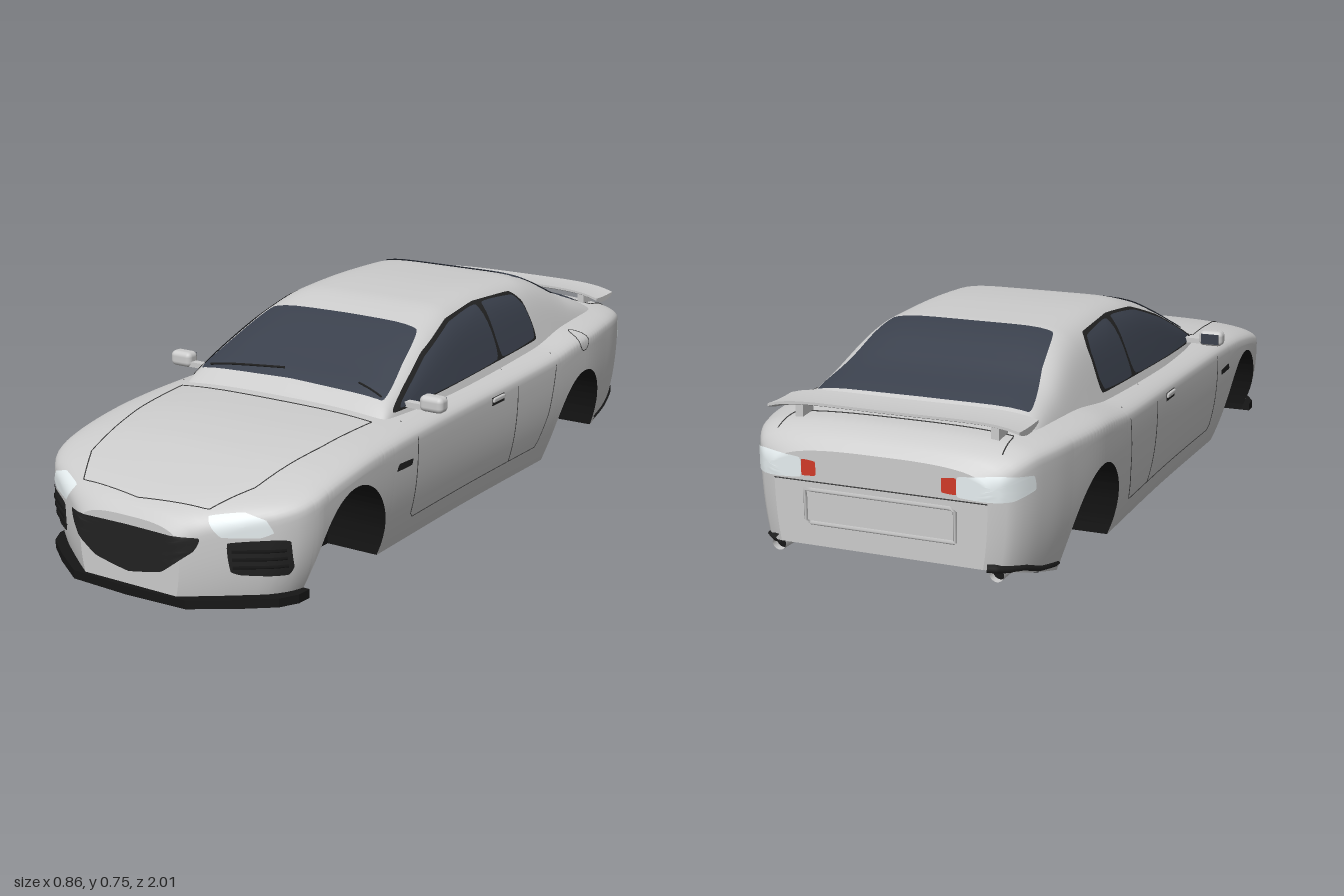
import * as THREE from 'three';
import { RoundedBoxGeometry } from 'three/addons/geometries/RoundedBoxGeometry.js';

const mat = (color) => new THREE.MeshStandardMaterial({ color, side: THREE.DoubleSide });
const paint = mat(0xcccccc), glass = mat(0x3a404c), black = mat(0x222222), lamp = mat(0xe6eef0),
  dark = mat(0x161616), seam = mat(0x444444), red = mat(0xd03a28);

// Smooth curve through [z, value] points without overshoot
function curve(p) {
  const d = p.slice(1).map((q, i) => (q[1] - p[i][1]) / (q[0] - p[i][0]));
  const m = p.map((_, i) => i === 0 ? d[0] : i === d.length ? d[i - 1]
    : d[i - 1] * d[i] <= 0 ? 0 : 2 * d[i - 1] * d[i] / (d[i - 1] + d[i]));
  return (z) => {
    let i = 0;
    while (i < d.length - 1 && z > p[i + 1][0]) i++;
    const h = p[i + 1][0] - p[i][0], t = Math.min(1, Math.max(0, (z - p[i][0]) / h)), u = 1 - t;
    return u * u * (1 + 2 * t) * p[i][1] + t * u * u * h * m[i] + t * t * (3 - 2 * t) * p[i + 1][1] - t * t * u * h * m[i + 1];
  };
}
const superEllipse = (t, n) => Math.pow(Math.max(0, 1 - Math.pow(Math.min(1, Math.abs(t)), n)), 1 / n);

// Body: plan half width, deck height, underside height
const W = curve([[-1, 0.27], [-0.985, 0.305], [-0.95, 0.335], [-0.9, 0.357], [-0.8, 0.38], [-0.6, 0.4], [0, 0.392],
  [0.6, 0.4], [0.75, 0.395], [0.8, 0.383], [0.85, 0.348], [0.9, 0.28], [0.95, 0.205], [0.985, 0.15]]);
const T = curve([[-1, 0.545], [-0.97, 0.575], [-0.9, 0.597], [-0.8, 0.6], [-0.6, 0.595], [-0.4, 0.575], [0, 0.562],
  [0.37, 0.557], [0.52, 0.55], [0.68, 0.53], [0.84, 0.49], [0.93, 0.46], [0.97, 0.44], [0.985, 0.422]]);
const floorY = curve([[-1, 0.31], [-0.8, 0.25], [-0.68, 0.22], [0.6, 0.22], [0.985, 0.245]]);
const S = (z) => T(z) - 0.06;
const ARCHES = [0.615, -0.603], ARCH_R = 0.165;
function sillY(z) {
  let y = floorY(z);
  for (const c of ARCHES) {
    const d = (z - c) / ARCH_R;
    if (Math.abs(d) < 1) y = Math.max(y, 0.22 + 0.24 * Math.sqrt(1 - d * d));
  }
  return y;
}
function bodyX(y, z) {
  const s = S(z);
  return y < s ? W(z) * (1 - 0.13 * Math.pow((s - y) / (s - 0.22), 2.5)) : W(z) * superEllipse((y - s) / 0.06, 3);
}
const bodyY = (x, z) => S(z) + 0.06 * superEllipse(x / W(z), 3);
// Depth of the nose or tail surface at a point seen end-on
function bodyZ(x, y, end) {
  let a = end * 0.4, b = end > 0 ? 0.985 : -1;
  if (bodyX(y, b) >= Math.abs(x)) return b;
  for (let i = 0; i < 30; i++) {
    const c = (a + b) / 2;
    if (bodyX(y, c) >= Math.abs(x)) a = c; else b = c;
  }
  return a;
}

// Cabin: roofline, taper of the sides
const R = curve([[-0.86, 0.57], [-0.83, 0.6], [-0.77, 0.63], [-0.67, 0.665], [-0.61, 0.695], [-0.555, 0.722], [-0.5, 0.74],
  [-0.45, 0.748], [-0.26, 0.753], [-0.07, 0.745], [0.06, 0.715], [0.14, 0.683], [0.25, 0.63], [0.335, 0.585], [0.37, 0.55]]);
const G = curve([[-0.86, 0.96], [-0.4, 1], [0, 1], [0.2, 0.985], [0.37, 0.94]]);
const cabSide = (y, z) => (0.335 - 0.36 * (y - 0.55)) * G(z);
const cabX = (y, z) => cabSide(y, z) * superEllipse((y - 0.5) / (R(z) - 0.5), 7);
function cabY(x, z) {
  let y = R(z);
  for (let i = 0; i < 8; i++) y = 0.5 + (R(z) - 0.5) * superEllipse(x / cabSide(y, z), 7);
  return y;
}

// Surface through rows of points
function skin(rows) {
  const n = rows[0].length, idx = [];
  for (let i = 0; i < rows.length - 1; i++) for (let j = 0; j < n - 1; j++) {
    const a = i * n + j, c = a + n;
    idx.push(a, a + 1, c, a + 1, c + 1, c);
  }
  const g = new THREE.BufferGeometry();
  g.setAttribute('position', new THREE.Float32BufferAttribute(rows.flat(2), 3));
  g.setIndex(idx);
  g.computeVertexNormals();
  return g;
}
const mirrorRow = (half) => half.concat(half.slice(0, -1).reverse().map(([x, y, z]) => [-x, y, z]));

export function createModel() {
  const car = new THREE.Group();
  const add = (name, geo, m, x = 0, y = 0, z = 0, parent = car) => {
    const mesh = new THREE.Mesh(geo, m);
    mesh.name = name;
    mesh.position.set(x, y, z);
    parent.add(mesh);
    return mesh;
  };
  // Patch laid on a surface, from a 2D outline
  const patch = (name, pts, proj, m) => {
    const loop = new THREE.CatmullRomCurve3(pts.map(([u, v]) => new THREE.Vector3(u, v, 0)), true, 'catmullrom', 0.15).getPoints(pts.length * 8);
    const cu = pts.reduce((a, p) => a + p[0], 0) / pts.length, cv = pts.reduce((a, p) => a + p[1], 0) / pts.length;
    const rows = [];
    for (let r = 0; r <= 8; r++) rows.push(loop.map((p) => proj(cu + (p.x - cu) * r / 8, cv + (p.y - cv) * r / 8)));
    return add(name, skin(rows), m);
  };
  // Thin line or rod following a surface
  const line = (name, pts, proj, m = seam, r = 0.0015) => {
    const path = new THREE.CurvePath();
    for (let i = 0; i < pts.length - 1; i++) {
      for (let k = 0; k < 8; k++) {
        const at = (t) => new THREE.Vector3(...proj(...[0, 1].map((c) => pts[i][c] + (pts[i + 1][c] - pts[i][c]) * t)));
        path.add(new THREE.LineCurve3(at(k / 8), at((k + 1) / 8)));
      }
    }
    return add(name, new THREE.TubeGeometry(path, pts.length * 10, r, 4), m);
  };
  const onSide = (s, o = 0.002) => (z, y) => [s * (bodyX(y, z) + o), y, z];
  const onCabin = (s, o) => (z, y) => [s * (cabX(y, z) + o), y, z];
  const onEnd = (end, o = 0.005, s = 1) => (x, y) => [s * x, y, bodyZ(x, y, end) + end * o];
  const onDeck = (x, z) => [x, bodyY(x, z) + 0.001, z];
  const onGlass = (o) => (x, z) => [x, cabY(x, z) + o, z];

  // Body shell and underside with wheel wells
  const zs = [];
  for (let i = 0; i <= 110; i++) zs.push(-1 + 1.985 * i / 110);
  for (const c of ARCHES) {
    for (let i = 0; i <= 28; i++) zs.push(c - ARCH_R * Math.cos(Math.PI * i / 28));
    zs.push(c - ARCH_R - 0.0006, c + ARCH_R + 0.0006);
  }
  zs.sort((a, b) => a - b);
  const bodyRow = (z) => {
    const half = [], y0 = sillY(z), s = S(z);
    for (let i = 0; i < 10; i++) { const y = y0 + (s - y0) * i / 10; half.push([bodyX(y, z), y, z]); }
    for (let i = 0; i <= 16; i++) {
      const a = Math.PI / 2 * i / 16;
      half.push([W(z) * Math.pow(Math.max(0, Math.cos(a)), 2 / 3), s + 0.06 * Math.pow(Math.sin(a), 2 / 3), z]);
    }
    half[half.length - 1][0] = 0;
    return mirrorRow(half);
  };
  add('bodyShell', skin(zs.map(bodyRow)), paint);
  add('underside', skin(zs.map((z) => {
    const y = sillY(z), f = floorY(z), xb = bodyX(y, z), xi = Math.min(0.2, xb);
    return [[-xb, y, z], [-xi, y, z], [-xi, f, z], [xi, f, z], [xi, y, z], [xb, y, z]];
  })).toNonIndexed(), dark).geometry.computeVertexNormals();
  for (const [name, z] of [['nosePanel', 0.985], ['tailPanel', -1]]) {
    const shape = new THREE.Shape(bodyRow(z).map(([x, y]) => new THREE.Vector2(x, y)));
    add(name, new THREE.ShapeGeometry(shape), paint, 0, 0, z);
  }

  // Cabin
  const cabRows = [];
  for (let k = 0; k <= 70; k++) {
    const z = -0.86 + 1.23 * k / 70, half = [];
    for (let i = 0; i <= 24; i++) {
      const a = Math.PI / 2 * i / 24, y = 0.5 + (R(z) - 0.5) * Math.pow(Math.sin(a), 2 / 7);
      half.push([i === 24 ? 0 : cabSide(y, z) * Math.pow(Math.cos(a), 2 / 7), y, z]);
    }
    cabRows.push(mirrorRow(half));
  }
  add('cabin', skin(cabRows), paint);
  patch('windscreen', [[-0.285, 0.33], [0, 0.325], [0.285, 0.33], [0.265, 0.2], [0.23, 0.075], [0, 0.065], [-0.23, 0.075], [-0.265, 0.2]], onGlass(0.004), glass);
  patch('rearWindow', [[-0.275, -0.775], [0, -0.78], [0.275, -0.775], [0.245, -0.62], [0.215, -0.48], [0, -0.475], [-0.215, -0.48], [-0.245, -0.62]], onGlass(0.004), glass);
  line('wiper', [[-0.26, 0.325], [-0.035, 0.3]], onGlass(0.008), black, 0.003);
  line('wiper', [[0.2, 0.305], [0.28, 0.325]], onGlass(0.008), black, 0.003);

  // Parts on both sides
  for (const s of [1, -1]) {
    patch('windowTrim', [[0.325, 0.555], [-0.2, 0.572], [-0.42, 0.582], [-0.428, 0.62], [-0.415, 0.69], [-0.38, 0.722], [-0.19, 0.73], [-0.03, 0.715], [0.13, 0.662], [0.26, 0.6]], onCabin(s, 0.003), black);
    patch('doorWindow', [[0.295, 0.562], [-0.188, 0.578], [-0.188, 0.722], [-0.03, 0.708], [0.13, 0.654], [0.25, 0.596]], onCabin(s, 0.006), glass);
    patch('quarterWindow', [[-0.218, 0.58], [-0.405, 0.588], [-0.42, 0.62], [-0.41, 0.68], [-0.378, 0.714], [-0.218, 0.722]], onCabin(s, 0.006), glass);
    line('doorSeam', [[0.335, 0.54], [0.335, 0.3], [0.325, 0.288], [-0.35, 0.288], [-0.39, 0.38], [-0.42, 0.55]], onSide(s, 0));
    line('doorRearSeam', [[-0.195, 0.55], [-0.195, 0.288]], onSide(s, 0));
    patch('sideMarker', [[0.44, 0.447], [0.37, 0.445], [0.365, 0.46], [0.43, 0.464]], onSide(s, 0.003), black);
    const handle = add('doorHandle', new RoundedBoxGeometry(0.012, 0.014, 0.062, 2, 0.005), paint, s * bodyX(0.503, -0.085), 0.503, -0.085);
    add('handleRecess', new THREE.BoxGeometry(0.006, 0.022, 0.066), black, handle.position.x - s * 0.002, 0.5, -0.085);
    // Door mirror
    add('mirrorHousing', new RoundedBoxGeometry(0.068, 0.042, 0.042, 3, 0.014), paint, s * 0.398, 0.577, 0.265);
    add('mirrorArm', new THREE.BoxGeometry(0.07, 0.014, 0.022), paint, s * 0.342, 0.566, 0.268);
    add('mirrorGlass', new THREE.BoxGeometry(0.05, 0.028, 0.003), glass, s * 0.398, 0.577, 0.2435);
    // Lamps and bumper vents
    patch('headlight', [[0.2, 0.445], [0.235, 0.4], [0.31, 0.398], [0.335, 0.41], [0.32, 0.44], [0.27, 0.455]], onEnd(1, 0.005, s), lamp);
    patch('bumperVent', [[0.247, 0.385], [0.25, 0.315], [0.27, 0.305], [0.35, 0.3], [0.362, 0.32], [0.362, 0.385], [0.34, 0.392]], onEnd(1, 0.005, s), black);
    for (const y of [0.325, 0.345, 0.365]) line('ventSlat', [[0.255, y], [0.355, y]], onEnd(1, 0.006, s), dark, 0.004);
    patch('tailLight', [[0.2, 0.475], [0.32, 0.47], [0.352, 0.485], [0.35, 0.52], [0.3, 0.53], [0.2, 0.522]], onEnd(-1, 0.005, s), lamp);
    patch('reverseLight', [[0.16, 0.482], [0.195, 0.48], [0.195, 0.518], [0.16, 0.515]], onEnd(-1, 0.004, s), red);
    // Exhaust and rear valance
    const pipe = new THREE.CylinderGeometry(0.018, 0.018, 0.09, 20, 1, true).rotateX(Math.PI / 2);
    add('exhaustPipe', pipe, paint, s * 0.28, 0.293, -0.93);
    add('exhaustBore', new THREE.CircleGeometry(0.018, 20), dark, s * 0.28, 0.293, -0.955);
    line('rearValance', [[-0.775, 0.262], [-0.86, 0.278], [-0.92, 0.3], [-0.995, 0.315]], onSide(s, -0.006), black, 0.012);
    line('hoodSeam', [[s * 0.3, 0.4], [s * 0.285, 0.6], [s * 0.25, 0.82], [s * 0.19, 0.92], [0, 0.945]], onDeck);
    line('bootSeam', [[0, -0.87], [s * 0.28, -0.87], [s * 0.285, -0.95]], onDeck);
    add('spoilerFoot', new THREE.BoxGeometry(0.02, 0.05, 0.05), paint, s * 0.25, 0.6, -0.885);
  }
  line('cowlSeam', [[-0.3, 0.4], [0.3, 0.4]], onDeck);
  const cap = Array.from({ length: 17 }, (_, i) => [-0.59 + 0.027 * Math.cos(i * Math.PI / 8), 0.55 + 0.027 * Math.sin(i * Math.PI / 8)]);
  line('fuelFlap', cap, onSide(1, 0));

  // Nose: grille and splitter
  patch('grille', [[-0.19, 0.398], [0, 0.402], [0.19, 0.398], [0.18, 0.365], [0.1, 0.305], [0, 0.285], [-0.1, 0.305], [-0.18, 0.365]], onEnd(1), black);
  const lip = [[0.372, 0.78], [0.37, 0.82], [0.345, 0.865], [0.27, 0.925], [0.17, 0.992]];
  const lipShape = new THREE.Shape([...lip, [0, 1], ...lip.slice().reverse().map(([x, z]) => [-x, z])].map((p) => new THREE.Vector2(...p)));
  add('frontSplitter', new THREE.ExtrudeGeometry(lipShape, { depth: 0.022, bevelEnabled: false }).rotateX(Math.PI / 2), dark, 0, 0.25, 0);

  // Tail: plate recess and spoiler
  line('plateRecess', [[-0.19, 0.365], [0.19, 0.365], [0.19, 0.445], [-0.19, 0.445], [-0.19, 0.365]], onEnd(-1, 0), paint, 0.005);
  line('tailSeam', [[-0.27, 0.465], [0.27, 0.465]], onEnd(-1, 0));
  const wing = new THREE.BoxGeometry(0.64, 0.016, 0.11, 24, 1, 8), p = wing.attributes.position;
  for (let i = 0; i < p.count; i++) {
    const u = p.getX(i) / 0.32, v = p.getZ(i) / 0.055;
    p.setY(i, p.getY(i) * (1 - 0.6 * v * v) + 0.007 * v * v - 0.018 * u ** 6);
    p.setZ(i, p.getZ(i) + 0.012 * u * u);
  }
  wing.computeVertexNormals();
  add('spoilerWing', wing, paint, 0, 0.627, -0.892);

  // Single wheel below the floor, axle along x
  const wheel = new THREE.Group();
  wheel.name = 'wheel';
  wheel.position.set(0, 0.147, -0.12);
  car.add(wheel);
  const lathe = (pts) => new THREE.LatheGeometry(pts.map((q) => new THREE.Vector2(...q)), 48).rotateZ(-Math.PI / 2);
  add('tyre', lathe([[0.103, -0.044], [0.115, -0.05], [0.135, -0.05], [0.144, -0.045], [0.147, -0.035], [0.147, 0.035], [0.144, 0.045], [0.135, 0.05], [0.115, 0.05], [0.103, 0.044]]), black, 0, 0, 0, wheel);
  add('rimBarrel', lathe([[0.104, -0.046], [0.096, -0.04], [0.092, 0], [0.096, 0.038], [0.106, 0.046]]), paint, 0, 0, 0, wheel);
  add('hub', new THREE.CylinderGeometry(0.02, 0.026, 0.02, 20).rotateZ(-Math.PI / 2), paint, 0.032, 0, 0, wheel);
  add('brakeDisc', new THREE.CylinderGeometry(0.075, 0.075, 0.008, 36).rotateZ(Math.PI / 2), mat(0x8a8a8a), 0, 0, 0, wheel);
  add('brakeCaliper', new RoundedBoxGeometry(0.03, 0.026, 0.055, 2, 0.006), red, 0.005, 0.05, -0.05, wheel).rotation.x = -Math.PI / 4;
  for (let i = 0; i < 6; i++) {
    const a = i * Math.PI / 3;
    for (const d of [-0.1, 0.1]) {
      const spoke = new THREE.BoxGeometry(0.012, 0.084, 0.009).translate(0.034, 0.058, 0).rotateX(a + d);
      add('spoke', spoke, paint, 0, 0, 0, wheel);
    }
  }
  return car;
}
